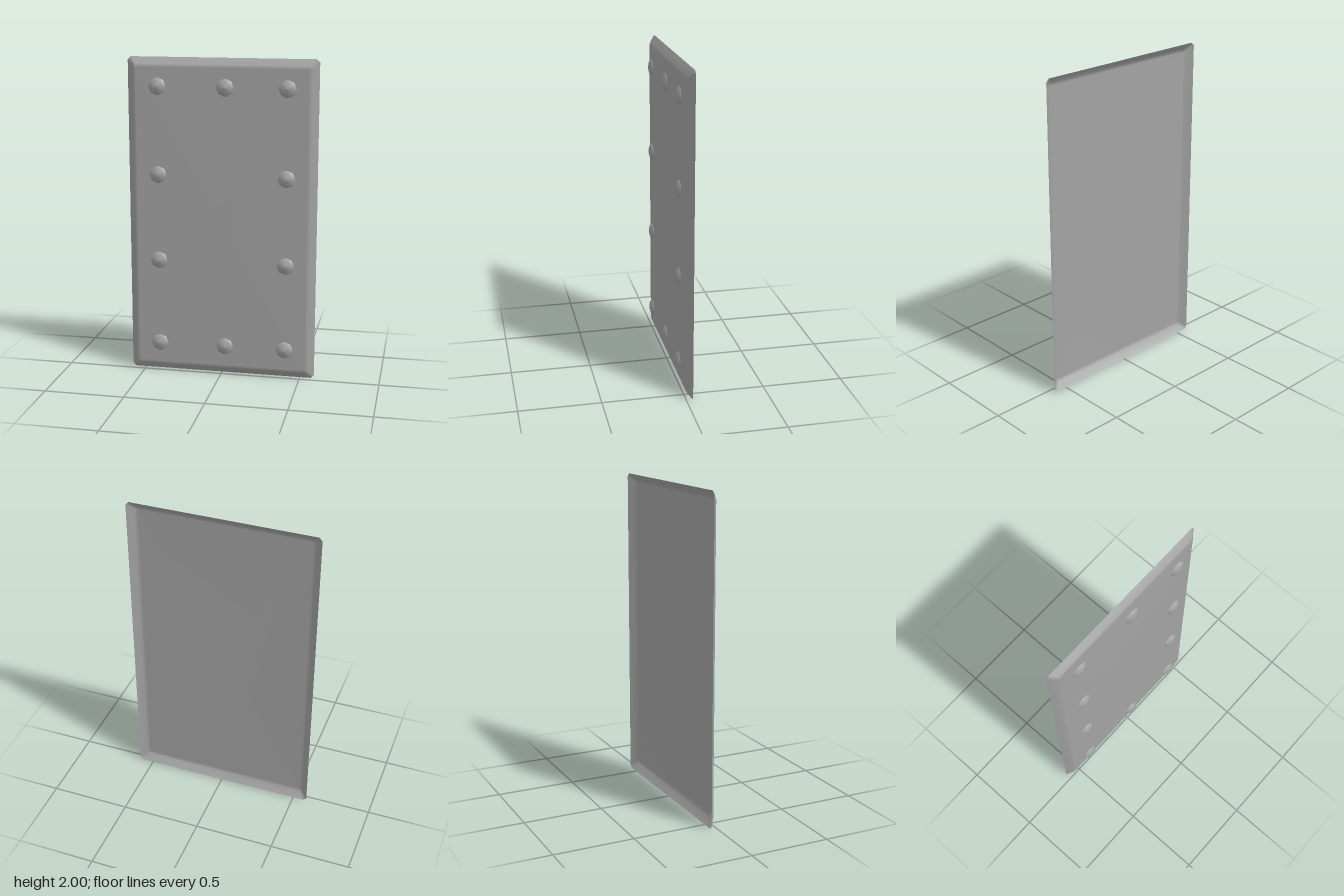
import * as THREE from 'three';

// Chamfered rectangle, counter-clockwise from the front
function ring(halfW, halfH, cut, z) {
  const w = halfW, h = halfH, c = cut;
  return [
    [w, -h + c], [w, h - c], [w - c, h], [-w + c, h],
    [-w, h - c], [-w, -h + c], [-w + c, -h], [w - c, -h],
  ].map(([x, y]) => [x, y + 1, z]);
}

// Open-backed shell: bevelled rim closed by a flat front
function plateGeometry() {
  const rings = [
    ring(0.59, 1, 0.02, -0.038),
    ring(0.55, 0.96, 0.014, -0.006),
    ring(0.53, 0.94, 0.01, 0),
  ];
  const n = 8;
  const positions = rings.flat(2);
  const index = [];
  for (let r = 0; r < rings.length - 1; r++) {
    for (let i = 0; i < n; i++) {
      const j = (i + 1) % n;
      const a = r * n + i, b = r * n + j, c = a + n, d = b + n;
      index.push(a, b, d, a, d, c);
    }
  }
  const centre = positions.length / 3;
  positions.push(0, 1, 0);
  const last = (rings.length - 1) * n;
  for (let i = 0; i < n; i++) index.push(last + i, last + (i + 1) % n, centre);

  const geometry = new THREE.BufferGeometry();
  geometry.setAttribute('position', new THREE.Float32BufferAttribute(positions, 3));
  geometry.setIndex(index);
  geometry.computeVertexNormals();
  return geometry;
}

export function createModel() {
  const group = new THREE.Group();
  group.name = 'rivetedPlate';

  const steel = new THREE.MeshStandardMaterial({ color: 0xa3a3a3, side: THREE.DoubleSide });
  steel.name = 'steel grey';

  const plate = new THREE.Mesh(plateGeometry(), steel);
  plate.name = 'plate';
  group.add(plate);

  // Eight-sided domed rivet heads, just proud of the plate
  const profile = [[0.055, 0], [0.04, 0.016], [0.001, 0.025]]
    .map(([r, y]) => new THREE.Vector2(r, y));
  const rivetGeometry = new THREE.LatheGeometry(profile, 8);
  rivetGeometry.rotateX(Math.PI / 2);

  // Full rows at top and bottom, side rivets only between them
  [0.19, 0.735, 1.28, 1.825].forEach((y, row) => {
    const xs = row === 0 || row === 3 ? [-0.395, 0.025, 0.405] : [-0.395, 0.405];
    for (const x of xs) {
      const rivet = new THREE.Mesh(rivetGeometry, steel);
      rivet.name = 'rivet';
      rivet.position.set(x, y, 0.011);
      group.add(rivet);
    }
  });

  return group;
}
